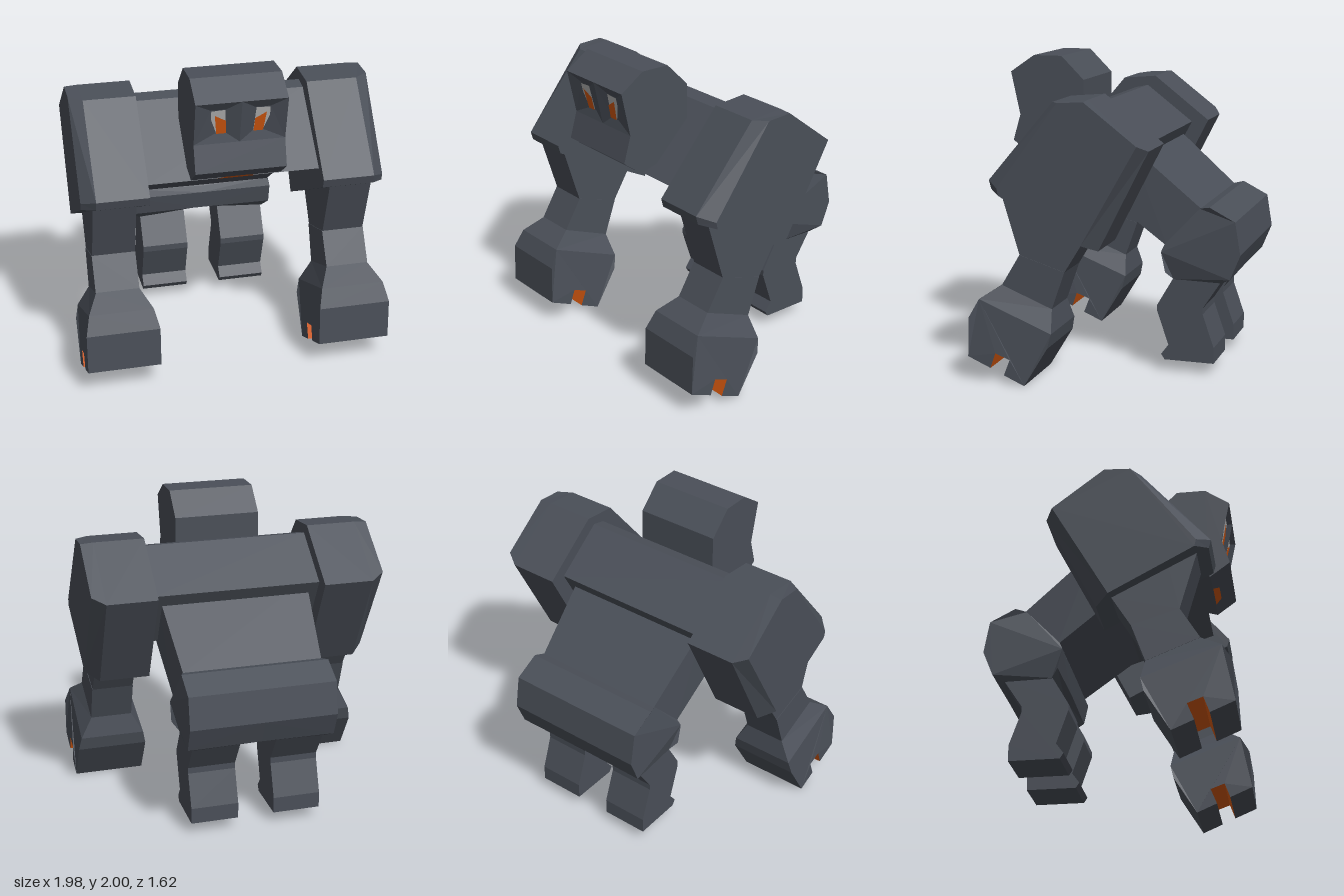
import * as THREE from 'three';

const slate = new THREE.MeshStandardMaterial({ color: 0x4a4f58, flatShading: true });
slate.name = 'slate';
const orange = new THREE.MeshStandardMaterial({ color: 0xd2570f, flatShading: true, side: THREE.DoubleSide });
orange.name = 'orange';
const paleGrey = new THREE.MeshStandardMaterial({ color: 0xb4b4b4, flatShading: true, side: THREE.DoubleSide });
paleGrey.name = 'paleGrey';

function meshFrom(name, slateTris, accentTris = [], accent = orange) {
  const geo = new THREE.BufferGeometry();
  const all = slateTris.concat(accentTris);
  geo.setAttribute('position', new THREE.Float32BufferAttribute(all.flat(2), 3));
  geo.computeVertexNormals();
  geo.addGroup(0, slateTris.length * 3, 0);
  if (accentTris.length) geo.addGroup(slateTris.length * 3, accentTris.length * 3, 1);
  const mesh = new THREE.Mesh(geo, accentTris.length ? [slate, accent] : slate);
  mesh.name = name;
  return mesh;
}

const mirrorTri = ([a, b, c]) => [a, c, b].map(([x, y, z]) => [-x, y, z]);

// Solid between two counter-clockwise [z, y, inset] side profiles at x0 < x1.
// side = -1 mirrors it; accentEdges become orange; skipEdges stay open.
function slab(name, x0, x1, prof0, { prof1 = prof0, side = 1, accentEdges = [], skipEdges = [] } = {}) {
  const p0 = prof0.map(([z, y, i = 0]) => [x0 + i, y, z]);
  const p1 = prof1.map(([z, y, i = 0]) => [x1 - i, y, z]);
  const plain = [], accent = [];
  const caps = (prof, pts, flip) => {
    const contour = prof.map(([z, y]) => new THREE.Vector2(z, y));
    for (const [a, b, c] of THREE.ShapeUtils.triangulateShape(contour, [])) {
      plain.push(flip ? [pts[a], pts[c], pts[b]] : [pts[a], pts[b], pts[c]]);
    }
  };
  caps(prof0, p0, false);
  caps(prof1, p1, true);
  for (let i = 0; i < p0.length; i++) {
    if (skipEdges.includes(i)) continue;
    const j = (i + 1) % p0.length;
    const out = accentEdges.includes(i) ? accent : plain;
    out.push([p0[i], p1[j], p0[j]], [p0[i], p1[i], p1[j]]);
  }
  return side < 0
    ? meshFrom(name, plain.map(mirrorTri), accent.map(mirrorTri))
    : meshFrom(name, plain, accent);
}

// Flat plate from a convex outline of 3D points
function plate(name, pts, material) {
  const tris = [];
  for (let i = 1; i < pts.length - 1; i++) tris.push([pts[0], pts[i], pts[i + 1]]);
  const mesh = meshFrom(name, tris);
  mesh.geometry.clearGroups();
  mesh.material = material;
  return mesh;
}

function makeHead() {
  const head = new THREE.Group();
  head.name = 'head';
  head.add(slab('skull', -0.285, 0.285, [
    [0.64, 1.345], [0.77, 1.44], [0.72, 1.61], [0.78, 1.89], [0.62, 2], [0.43, 2],
    [0.28, 1.85], [0.28, 1.6], [0.45, 1.4],
  ], { skipEdges: [2] }));

  // Face with a nose ridge and shallow eye sockets
  const faceZ = (y) => 0.72 + (y - 1.61) * 0.06 / 0.28;
  const on = (x, y, d) => [x, y, faceZ(y) + d];
  const rim = [on(0, 1.89, 0), on(0, 1.61, 0), on(0.285, 1.61, 0), on(0.285, 1.89, 0)];
  const socket = [on(0.09, 1.835, -0.025), on(0.085, 1.672, -0.025), on(0.15, 1.672, -0.025), on(0.185, 1.835, -0.025)];
  const tris = [[socket[0], socket[1], socket[2]], [socket[0], socket[2], socket[3]]];
  for (let i = 0; i < 4; i++) {
    const j = (i + 1) % 4;
    tris.push([rim[i], rim[j], socket[j]], [rim[i], socket[j], socket[i]]);
  }
  head.add(meshFrom('face', tris.concat(tris.map(mirrorTri))));

  // Eyes
  for (const s of [1, -1]) {
    const flat = (pts, d) => pts.map(([x, y]) => on(s * x, y, d));
    head.add(plate('eye', flat([[0.095, 1.835], [0.085, 1.675], [0.145, 1.675], [0.182, 1.775], [0.182, 1.83]], -0.02), paleGrey));
    head.add(plate('iris', flat([[0.09, 1.76], [0.085, 1.672], [0.145, 1.672], [0.16, 1.8]], -0.015), orange));
  }

  // Mouth on the underside of the jaw
  head.add(plate('mouth', [[-0.12, 1.34, 0.644], [0.12, 1.34, 0.644], [0.08, 1.367, 0.683], [-0.08, 1.367, 0.683]], orange));
  return head;
}

function makeArm(side) {
  const arm = new THREE.Group();
  arm.name = side > 0 ? 'leftArm' : 'rightArm';

  // Shoulder block with a bevelled outer side
  const full = [[0.68, 1.225], [0.695, 1.28], [0.27, 1.78], [0.045, 1.8], [-0.335, 1.505], [-0.015, 0.875]];
  const outer = [[0.6, 1.2], [0.61, 1.245], [0.21, 1.785], [0.045, 1.795], [-0.285, 1.543], [0.07, 0.92]];
  arm.add(slab('shoulder', 0.55, 0.88, full, { side }));
  arm.add(slab('shoulderBevel', 0.88, 0.965, full, { prof1: outer, side }));

  // Bent upper arm
  arm.add(slab('upperArm', 0.62, 0.892, [
    [0.495, 0.82], [0.61, 1.2], [0.4, 1.25], [0.1, 1.05], [0.08, 0.925], [0.2, 0.73],
  ], { side }));
  arm.add(slab('forearm', 0.617, 0.895, [
    [0.615, 0.62], [0.495, 0.82], [0.2, 0.73], [0.285, 0.49],
  ], { side }));

  // Flared wrist and slotted fist
  arm.add(slab('wrist', 0.525, 0.985, [
    [0.745, 0.535, 0.025], [0.615, 0.62, 0.092], [0.285, 0.49, 0.092], [0.265, 0.35, 0.015],
  ], { side }));
  arm.add(slab('fist', 0.522, 0.988, [
    [0.44, 0.005], [0.575, 0.062], [0.535, 0.165], [0.63, 0.2], [0.665, 0.102], [0.815, 0.165],
    [0.805, 0.42], [0.745, 0.535, 0.028], [0.265, 0.35, 0.018], [0.285, 0.26],
  ], { side, accentEdges: [1, 2, 3] }));
  return arm;
}

export function createModel() {
  const model = new THREE.Group();
  model.name = 'stoneBeast';

  // Chest and abdomen
  model.add(slab('chest', -0.55, 0.55, [
    [-0.02, 1.12], [0.585, 1.315], [0.19, 1.715], [0.1, 1.735], [-0.22, 1.49],
  ]));
  model.add(slab('abdomen', -0.5, 0.5, [
    [-0.33, 0.84, 0.035], [0.06, 1.14, 0.005], [-0.1, 1.475, 0], [-0.55, 1.09, 0.045],
  ]));
  model.add(makeHead());

  // Pelvis halves, raised slightly between the legs
  const pelvisMid = [
    [-0.37, 0.655], [-0.32, 0.675], [-0.295, 0.8], [-0.315, 0.84], [-0.54, 1.09],
    [-0.61, 1.105], [-0.775, 1.02], [-0.81, 0.81], [-0.745, 0.655], [-0.68, 0.655],
  ];
  const pelvisOuter = [
    [-0.37, 0.62, 0.04], [-0.325, 0.67], [-0.297, 0.8], [-0.32, 0.855, 0.015], [-0.54, 1.09, 0.025],
    [-0.61, 1.105], [-0.775, 1.02], [-0.81, 0.81], [-0.745, 0.65], [-0.68, 0.615, 0.04],
  ];
  const legProfile = [
    [-0.31, 0.08], [-0.287, 0.115], [-0.335, 0.18], [-0.26, 0.4], [-0.26, 0.44], [-0.375, 0.64],
    [-0.69, 0.64], [-0.56, 0.44], [-0.56, 0.4], [-0.635, 0.185], [-0.635, 0.08],
  ];
  for (const side of [1, -1]) {
    const label = side > 0 ? 'left' : 'right';
    model.add(slab(label + 'Pelvis', 0, 0.48, pelvisMid, { prof1: pelvisOuter, side }));
    model.add(slab(label + 'Leg', 0.12, 0.432, legProfile, { side }));
    model.add(makeArm(side));
  }
  return model;
}
